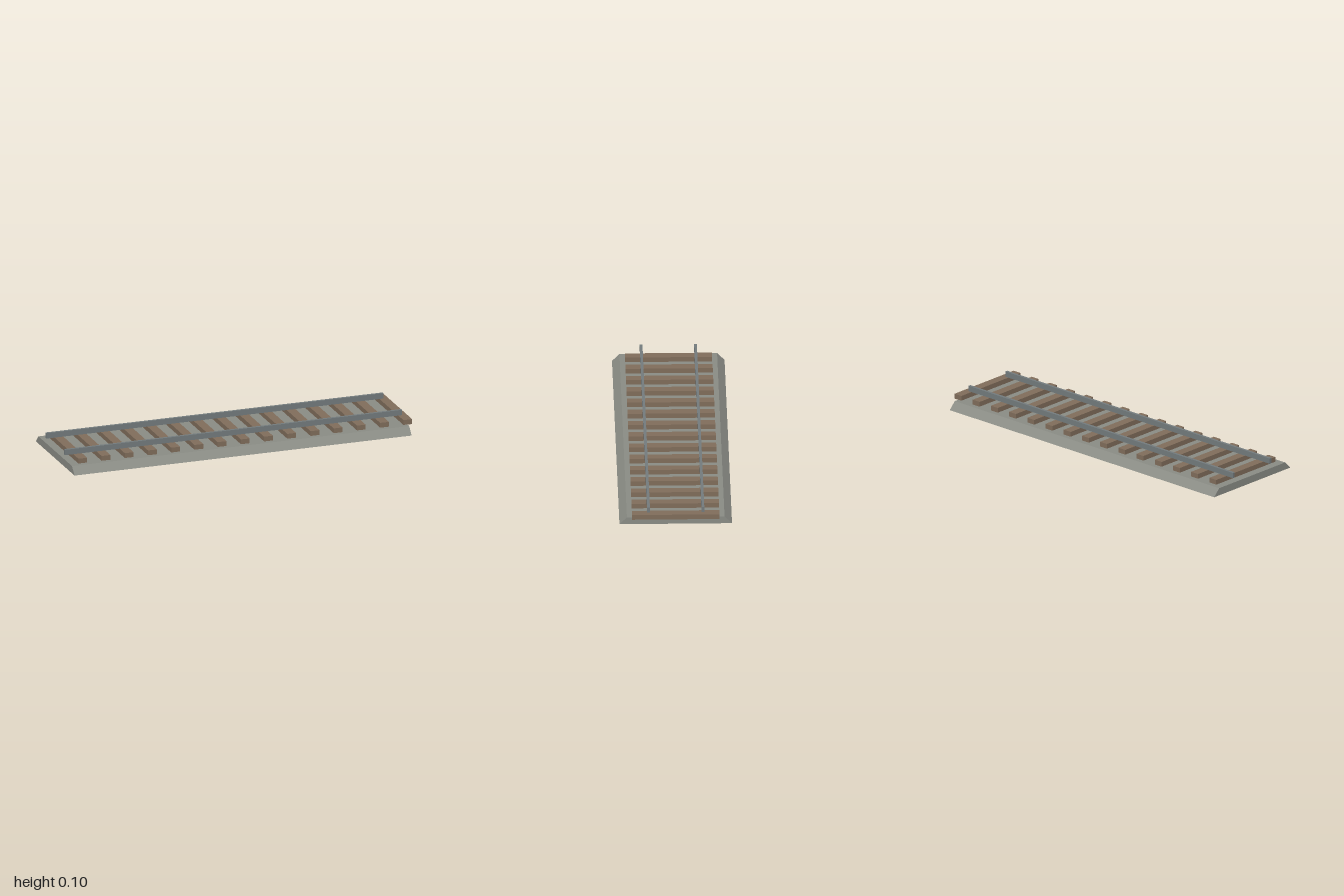
import * as THREE from 'three';

const LENGTH = 1.926;

export function createModel() {
  const gravel = new THREE.MeshStandardMaterial({ name: 'gravel grey', color: 0x8a8c85 });
  const wood = new THREE.MeshStandardMaterial({ name: 'sleeper brown', color: 0x806d5b });
  const steel = new THREE.MeshStandardMaterial({ name: 'rail steel', color: 0x737b7d });

  const track = new THREE.Group();
  track.name = 'railwayTrack';

  const add = (name, geometry, material, x, y, z) => {
    const mesh = new THREE.Mesh(geometry, material);
    mesh.name = name;
    mesh.position.set(x, y, z);
    track.add(mesh);
    return mesh;
  };

  // Ballast bed: trapezoid section swept along the track, with upright ends
  const section = new THREE.Shape([
    new THREE.Vector2(-0.302, 0),
    new THREE.Vector2(0.302, 0),
    new THREE.Vector2(0.262, 0.041),
    new THREE.Vector2(-0.262, 0.041),
  ]);
  const bed = new THREE.ExtrudeGeometry(section, { depth: LENGTH, bevelEnabled: false });
  bed.translate(0, 0, -LENGTH / 2).rotateY(Math.PI / 2);
  add('ballastBed', bed, gravel, 0, 0, 0);

  // Sleepers: evenly spaced, the last one overhanging the end of the bed
  const sleeper = new THREE.BoxGeometry(0.05, 0.028, 0.468);
  for (let i = 0; i < 15; i++) {
    add('sleeper' + (i + 1), sleeper, wood, -0.891 + i * 0.1326, 0.054, 0);
  }

  // Two rails on top of the sleepers
  const rail = new THREE.BoxGeometry(LENGTH, 0.03, 0.015);
  add('frontRail', rail, steel, 0, 0.083, 0.146);
  add('backRail', rail, steel, 0, 0.083, -0.146);

  // The track lies diagonally
  track.rotation.y = -THREE.MathUtils.degToRad(25.5);

  const model = new THREE.Group();
  model.name = 'trackPiece';
  model.add(track);
  return model;
}
